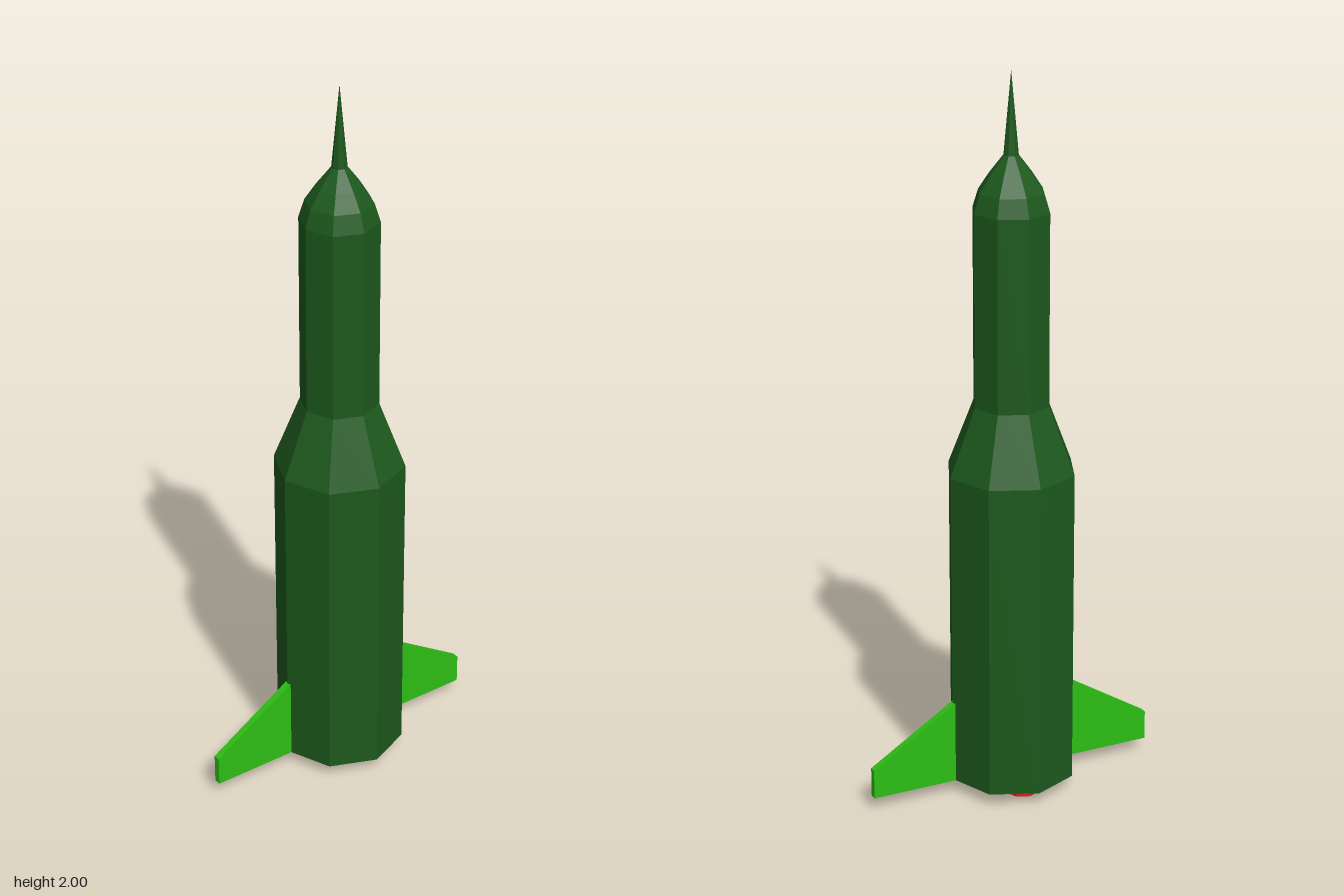
import * as THREE from 'three';

const hullGreen = new THREE.MeshStandardMaterial({ color: 0x1d591d });
hullGreen.name = 'hullGreen';
const finGreen = new THREE.MeshStandardMaterial({ color: 0x2dbe14 });
finGreen.name = 'finGreen';
const engineRed = new THREE.MeshStandardMaterial({ color: 0xc41c1c });
engineRed.name = 'engineRed';

// Faceted solid of revolution from [radius, height] pairs, bottom to top
function facetedLathe(name, profile, sides, material) {
  const points = profile.map(([r, y]) => new THREE.Vector2(r, y));
  const geometry = new THREE.LatheGeometry(points, sides).toNonIndexed();
  geometry.computeVertexNormals();
  const mesh = new THREE.Mesh(geometry, material);
  mesh.name = name;
  return mesh;
}

export function createModel() {
  const rocket = new THREE.Group();
  rocket.name = 'rocket';

  // Hull: recessed tail, lower stage, shoulder, upper stage, nose and spike
  rocket.add(facetedLathe('hull', [
    [0, 0.075], [0.15, 0.075], [0.178, 0.037], [0.178, 0.925],
    [0.106, 1.11], [0.106, 1.635], [0.09, 1.685], [0.06, 1.73],
    [0.021, 1.78], [0, 2],
  ], 8, hullGreen));

  // Three engine bells, one at the back and two at the front
  for (let i = 0; i < 3; i++) {
    const angle = Math.PI + (i * Math.PI * 2) / 3;
    const bell = facetedLathe('engineBell', [
      [0, 0.012], [0.05, 0], [0.045, 0.028], [0.033, 0.05], [0.018, 0.065], [0.018, 0.08],
    ], 8, engineRed);
    bell.position.set(Math.sin(angle) * 0.07, 0, Math.cos(angle) * 0.07);
    rocket.add(bell);
  }

  // Swept fins on both sides
  const outline = new THREE.Shape([
    new THREE.Vector2(0.165, 0.037), new THREE.Vector2(0.417, 0.037),
    new THREE.Vector2(0.417, 0.12), new THREE.Vector2(0.165, 0.277),
  ]);
  const finGeometry = new THREE.ExtrudeGeometry(outline, { depth: 0.02, bevelEnabled: false });
  finGeometry.translate(0, 0, -0.01);
  for (const [name, turn] of [['leftFin', 0], ['rightFin', Math.PI]]) {
    const fin = new THREE.Mesh(finGeometry, finGreen);
    fin.name = name;
    fin.rotation.y = turn;
    rocket.add(fin);
  }

  return rocket;
}
